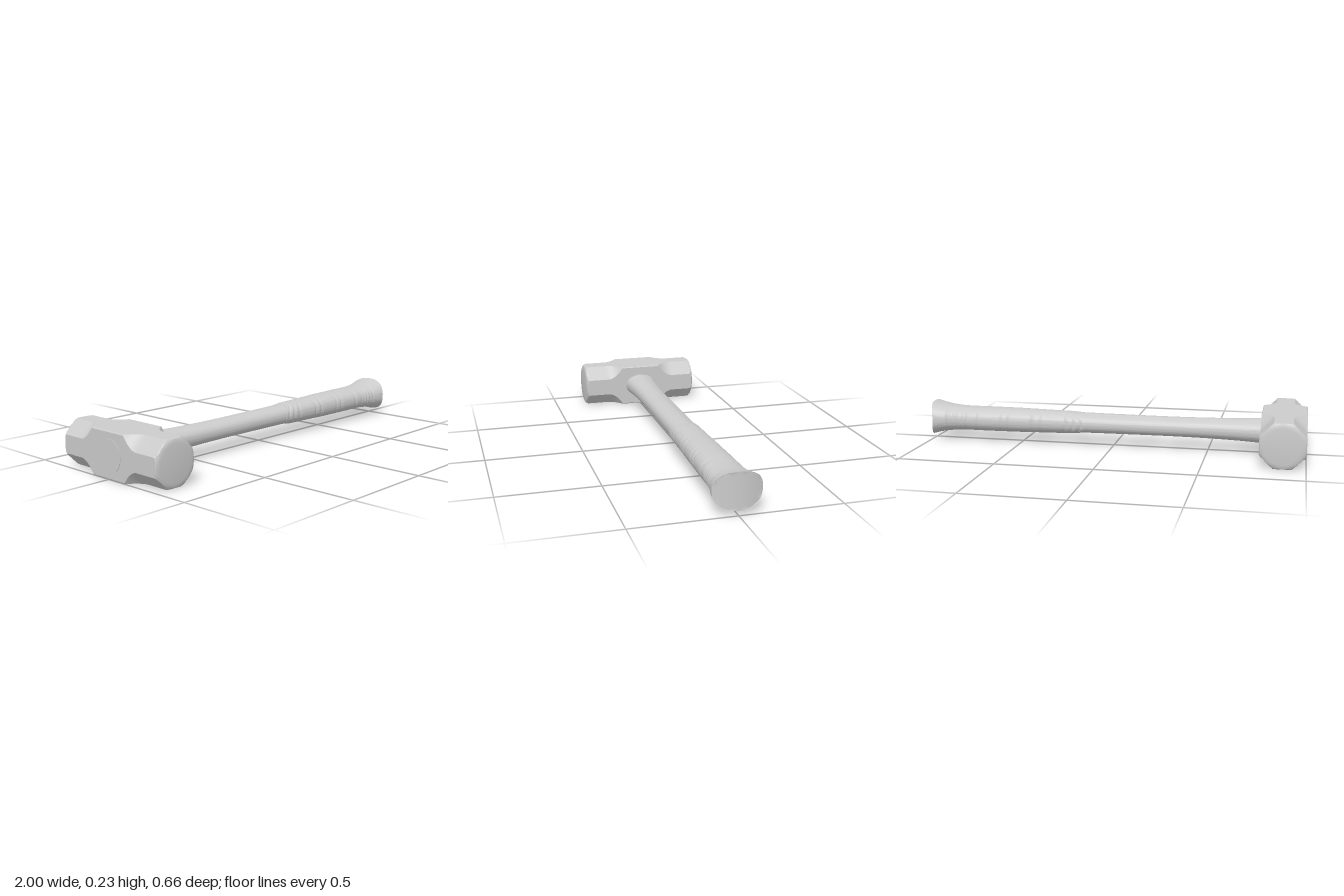
import * as THREE from 'three';
import { toCreasedNormals } from 'three/addons/utils/BufferGeometryUtils.js';

const CY = 0.115; // height of the handle axis
const HEAD_X = -0.887;
const HALF = 0.113; // half thickness of the head

// Skin a list of closed rings, with a flat fan at each end.
function loft(rings, crease) {
  const n = rings[0].length;
  const pos = [];
  const idx = [];
  rings.forEach((r) => r.forEach((p) => pos.push(p.x, p.y, p.z)));
  for (let i = 0; i < rings.length - 1; i++) {
    for (let j = 0; j < n; j++) {
      const k = (j + 1) % n;
      const a = i * n + j, b = i * n + k, d = a + n, c = b + n;
      idx.push(a, d, b, b, d, c);
    }
  }
  [0, rings.length - 1].forEach((i, end) => {
    const mid = rings[i].reduce((s, p) => s.add(p), new THREE.Vector3()).divideScalar(n);
    const m = pos.length / 3;
    pos.push(mid.x, mid.y, mid.z);
    for (let j = 0; j < n; j++) {
      const a = i * n + j, b = i * n + (j + 1) % n;
      if (end) idx.push(m, b, a);
      else idx.push(m, a, b);
    }
  });
  const g = new THREE.BufferGeometry();
  g.setAttribute('position', new THREE.Float32BufferAttribute(pos, 3));
  g.setIndex(idx);
  return toCreasedNormals(g, crease);
}

// Square block whose corners are cut away to an octagon towards both faces.
function headGeometry() {
  const half = [0, 0.06, 0.112];
  for (let i = 1; i <= 10; i++) half.push(0.112 + 0.085 * i / 10);
  half.push(0.25, 0.3, 0.308, 0.314, 0.32, 0.325, 0.328, 0.33);
  const zs = [...half].reverse().concat(half.slice(1).map((z) => -z));
  const rings = zs.map((z) => {
    const t = THREE.MathUtils.clamp((Math.abs(z) - 0.112) / 0.085, 0, 1);
    const cut = 0.004 + 0.063 * (1 - (1 - t) ** 2);
    // rounded rim that trims the octagon near the striking face
    const e = THREE.MathUtils.clamp((Math.abs(z) - 0.306) / 0.024, 0, 1);
    const limit = e > 0 ? 0.09 + 0.034 * Math.sqrt(1 - e * e) : 1;
    const ring = [];
    for (let q = 0; q < 4; q++) {
      const f = HALF - cut;
      const side = [];
      for (let s = 0; s < 10; s++) side.push([HALF, -f + 2 * f * s / 10]);
      for (let s = 0; s < 8; s++) side.push([HALF - cut * s / 8, f + cut * s / 8]);
      const c = [1, 0, -1, 0][q], sn = [0, 1, 0, -1][q];
      side.forEach(([u, v]) => {
        const k = Math.min(1, limit / Math.hypot(u, v));
        ring.push(new THREE.Vector3(HEAD_X + k * (u * c - v * sn), 0.114 + k * (u * sn + v * c), z));
      });
    }
    return ring;
  });
  return loft(rings, 0.35);
}

// Rounded oval ring across the handle; shape(angle, point) may adjust it.
function oval(x, h, w, adjust) {
  const ring = [];
  for (let j = 0; j < 64; j++) {
    const a = j / 64 * Math.PI * 2;
    const c = Math.cos(a), s = Math.sin(a);
    const p = new THREE.Vector3(x,
      CY + h * Math.sign(s) * Math.abs(s) ** 0.86,
      w * Math.sign(c) * Math.abs(c) ** 0.86);
    if (adjust) adjust(p, c, s);
    ring.push(p);
  }
  return ring;
}

// Curve through [x, half height, half width] stations.
const stations = (list) => new THREE.CatmullRomCurve3(list.map((p) => new THREE.Vector3(...p)), false, 'centripetal');

function shaftGeometry() {
  const path = stations([[-0.8, 0.062, 0.09], [-0.7, 0.056, 0.081], [-0.55, 0.051, 0.073],
    [-0.35, 0.048, 0.07], [0, 0.049, 0.071], [0.25, 0.051, 0.073]]);
  const rings = path.getPoints(40).map((k) => oval(k.x, k.y, k.z, (p, c, s) => {
    // slim raised strip along the top
    if (s > 0 && Math.abs(p.z) < k.z * 0.32) p.y += 0.003;
  }));
  return loft(rings, 0.5);
}

// Side ribs of the grip: raised pads, fine rings and shallow grooves.
function ribHeight(x) {
  let h = 0;
  for (const g of [0.215, 0.245, 0.275, 0.39, 0.435, 0.57, 0.61, 0.74, 0.8, 0.825, 0.85, 0.875, 0.9]) {
    h -= 0.005 * Math.exp(-(((x - g) / 0.007) ** 2));
  }
  return h;
}

function gripGeometry() {
  const path = stations([[0.19, 0.054, 0.075], [0.23, 0.057, 0.079], [0.35, 0.059, 0.082], [0.5, 0.062, 0.087],
    [0.7, 0.063, 0.093], [0.82, 0.063, 0.096], [0.9, 0.069, 0.103], [0.96, 0.079, 0.113], [1, 0.09, 0.118]]);
  const rings = path.getPoints(170).map((k) => oval(k.x, k.y, k.z, (p, c) => {
    const rib = ribHeight(k.x) * THREE.MathUtils.smoothstep(Math.abs(c), 0.35, 0.6);
    p.z += rib * c;
    p.y += rib * Math.sign(p.y - CY) * (1 - Math.abs(c));
    // the front edge reaches forward at the sides, the butt curves back
    p.x -= 0.05 * c * c * (1 - THREE.MathUtils.smoothstep(k.x, 0.19, 0.36));
    p.x -= 0.026 * c * c * THREE.MathUtils.smoothstep(k.x, 0.88, 1);
  }));
  // bowed butt face, shrinking to the centre
  const rim = rings[rings.length - 1];
  for (const f of [0.985, 0.8, 0.6, 0.4, 0.2, 0.04]) {
    rings.push(rim.map((p) => {
      const z = p.z * f;
      return new THREE.Vector3(1 - 0.026 * (z / 0.118) ** 2, CY + (p.y - CY) * f, z);
    }));
  }
  return loft(rings, 0.5);
}

export function createModel() {
  const group = new THREE.Group();
  const material = new THREE.MeshStandardMaterial({ color: 0xcccccc });
  const add = (name, geometry) => {
    const mesh = new THREE.Mesh(geometry, material);
    mesh.name = name;
    group.add(mesh);
  };
  add('head', headGeometry());
  add('shaft', shaftGeometry());
  add('grip', gripGeometry());
  // end of the handle showing in the eye of the head
  add('eyePlug', loft([oval(-1.002, 0.078, 0.088), oval(-0.95, 0.078, 0.088)], 0.5));
  return group;
}
